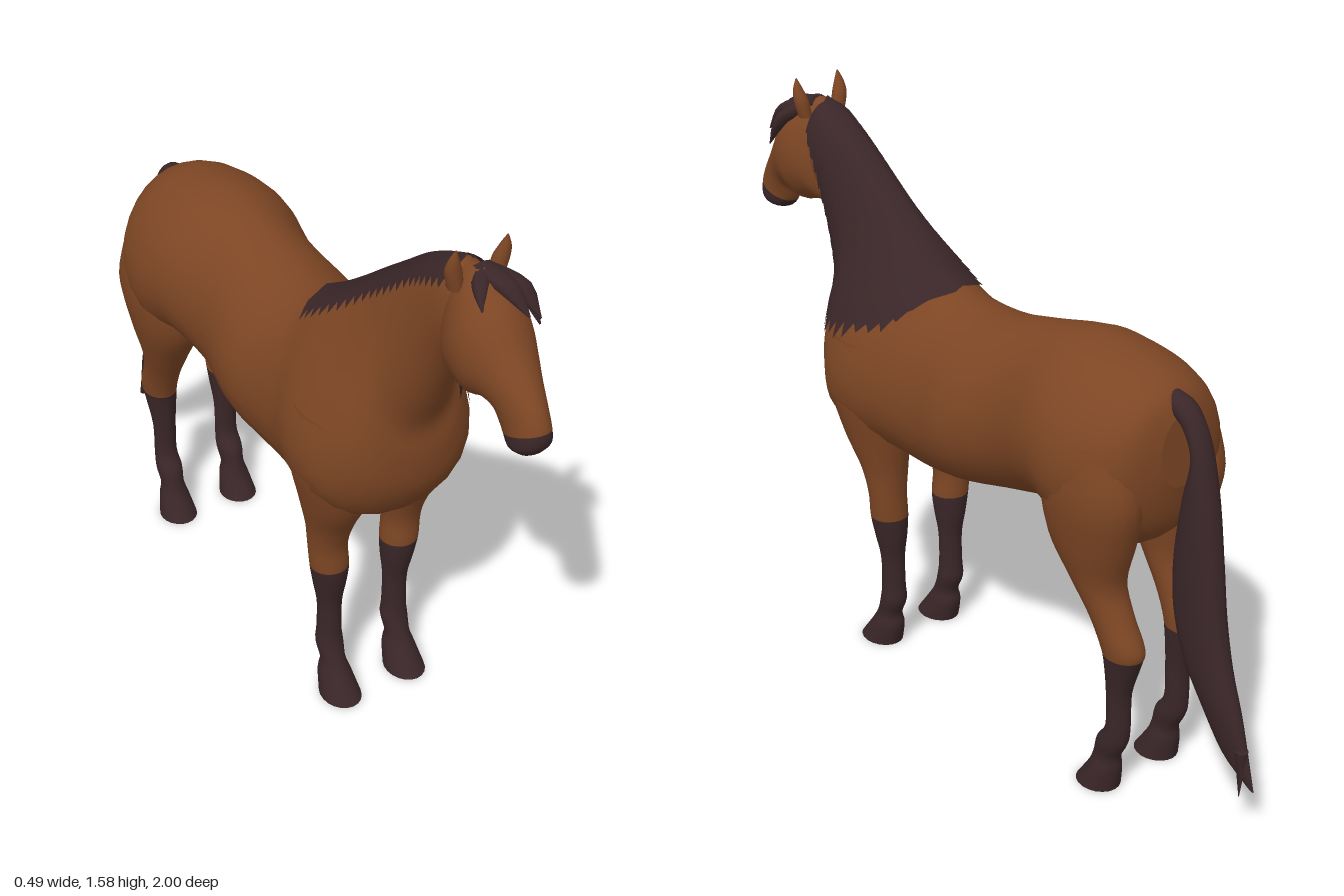
import * as THREE from 'three';

const coat = new THREE.MeshStandardMaterial({ color: 0x7d4624 });
coat.name = 'bay coat';
const dark = new THREE.MeshStandardMaterial({ color: 0x3a2628, side: THREE.DoubleSide });
dark.name = 'dark points';

// Smooth loft. Section: [topZ, topY, bottomZ, bottomY, halfWidth, centreX, pear].
// Faces from section index `split` onward use the second material.
function loft(name, sections, materials, split = Infinity, sides = 28, steps = 4) {
  const pos = [], index = [], n = sections.length;
  const spline = (a, b, c, d, t) =>
    0.5 * (2 * b + (c - a) * t + (2 * a - 5 * b + 4 * c - d) * t * t + (3 * b - a - 3 * c + d) * t * t * t);
  const at = (i) => sections[Math.min(Math.max(i, 0), n - 1)];
  const rows = (n - 1) * steps;
  const ring = (r) => {
    const i = Math.min(Math.floor(r / steps), n - 2), t = r / steps - i;
    const [tz, ty, bz, by, w, cx, k] = Array.from({ length: 7 }, (_, j) =>
      spline(...[i - 1, i, i + 1, i + 2].map((q) => at(q)[j] ?? 0), t));
    for (let s = 0; s < sides; s++) {
      const a = (s / sides) * Math.PI * 2, v = Math.sin(a);
      pos.push(cx + Math.max(w, 0.001) * Math.cos(a) * (1 - k * v),
        (ty + by) / 2 + (ty - by) / 2 * v, (tz + bz) / 2 + (tz - bz) / 2 * v);
    }
    return [cx, (ty + by) / 2, (tz + bz) / 2];
  };
  for (let r = 0; r <= rows; r++) ring(r);
  const cap = (r, flip) => {
    const base = pos.length / 3, c = ring(r);
    pos.push(...c);
    for (let s = 0; s < sides; s++) {
      const p = base + s, q = base + (s + 1) % sides;
      index.push(base + sides, flip ? q : p, flip ? p : q);
    }
  };
  cap(0, true);
  let splitAt = Infinity;
  for (let r = 0; r < rows; r++) {
    if (r === split * steps) splitAt = index.length;
    for (let s = 0; s < sides; s++) {
      const a = r * sides + s, b = r * sides + (s + 1) % sides;
      index.push(a, b, a + sides, b, b + sides, a + sides);
    }
  }
  cap(rows, false);
  const geo = new THREE.BufferGeometry();
  geo.setAttribute('position', new THREE.Float32BufferAttribute(pos, 3));
  geo.setIndex(index);
  geo.computeVertexNormals();
  if (splitAt < Infinity) {
    geo.addGroup(0, splitAt, 0);
    geo.addGroup(splitAt, index.length - splitAt, 1);
  }
  const mesh = new THREE.Mesh(geo, materials);
  mesh.name = name;
  return mesh;
}

// Mane: a jagged sheet over the crest, draped onto the left side of the neck
function buildMane(targets) {
  const curve = (pts) => new THREE.CatmullRomCurve3(pts.map(([z, y]) => new THREE.Vector3(0, y, z)));
  const crest = curve([[0.11, 1.135], [0.2, 1.19], [0.29, 1.255], [0.38, 1.325], [0.46, 1.385], [0.54, 1.445], [0.61, 1.485], [0.69, 1.52]]);
  const edge = curve([[0.14, 1.12], [0.23, 1.03], [0.37, 0.98], [0.48, 0.95], [0.56, 1.07], [0.61, 1.2], [0.65, 1.33], [0.7, 1.44]]);
  const ray = new THREE.Raycaster();
  const drape = (p, side) => {
    ray.set(new THREE.Vector3(side, p.y, p.z), new THREE.Vector3(-side, 0, 0));
    const hit = ray.intersectObjects(targets, false)[0];
    p.x = hit && hit.point.x * side > 0 ? hit.point.x + side * 0.01 : side * 0.01;
    return p;
  };
  const cols = 44, down = 10, back = 3, rows = down + back + 1, pos = [], index = [];
  for (let c = 0; c <= cols; c++) {
    const top = crest.getPoint(c / cols), fall = edge.getPoint(c / cols).sub(top);
    const jag = c % 2 ? 0.86 : 1 + 0.04 * Math.sin(c * 2.3);
    for (let r = -back; r <= down; r++) {
      const p = top.clone();
      if (r === 0) p.y += 0.012;
      else if (r > 0) drape(p.addScaledVector(fall, (r / down) ** 1.4 * jag), 1);
      else drape(p.addScaledVector(fall.clone().normalize(), -r / back * 0.055 * (c % 2 ? 0.6 : 1)), -1);
      pos.push(p.x, p.y, p.z);
      if (c < cols && r < down) {
        const a = c * rows + r + back;
        index.push(a, a + 1, a + rows, a + 1, a + rows + 1, a + rows);
      }
    }
  }
  const geo = new THREE.BufferGeometry();
  geo.setAttribute('position', new THREE.Float32BufferAttribute(pos, 3));
  geo.setIndex(index);
  geo.computeVertexNormals();
  const mesh = new THREE.Mesh(geo, dark);
  mesh.name = 'mane';
  return mesh;
}

export function createModel() {
  const horse = new THREE.Group();
  horse.name = 'horse';

  // Trunk and neck, rump to throat
  const body = loft('bodyAndNeck', [
    [-0.705, 1.07, -0.71, 0.88, 0.07], [-0.675, 1.125, -0.68, 0.76, 0.16],
    [-0.6, 1.165, -0.6, 0.69, 0.222, 0, 0.05], [-0.49, 1.185, -0.49, 0.69, 0.245, 0, 0.08],
    [-0.38, 1.19, -0.38, 0.725, 0.23, 0, 0.1], [-0.22, 1.155, -0.22, 0.685, 0.2, 0, 0.1],
    [-0.05, 1.12, -0.05, 0.645, 0.222, 0, 0.12], [0.07, 1.125, 0.08, 0.622, 0.208, 0, 0.15],
    [0.14, 1.15, 0.23, 0.63, 0.21, 0, 0.22], [0.2, 1.19, 0.36, 0.64, 0.228, 0, 0.32],
    [0.26, 1.235, 0.47, 0.67, 0.218, 0, 0.4], [0.32, 1.28, 0.54, 0.77, 0.18, 0, 0.42],
    [0.38, 1.325, 0.555, 0.88, 0.14, 0, 0.38], [0.44, 1.37, 0.55, 0.97, 0.11, 0, 0.28],
    [0.52, 1.43, 0.59, 1.07, 0.087, 0, 0.15], [0.6, 1.48, 0.635, 1.17, 0.075],
    [0.67, 1.515, 0.68, 1.25, 0.07], [0.73, 1.51, 0.72, 1.28, 0.06],
  ], coat);

  // Head, poll to lips, with a dark muzzle
  const head = loft('head', [
    [0.69, 1.515, 0.66, 1.31, 0.045], [0.745, 1.523, 0.675, 1.235, 0.078],
    [0.8, 1.495, 0.72, 1.23, 0.096], [0.845, 1.455, 0.775, 1.215, 0.094],
    [0.89, 1.39, 0.82, 1.232, 0.077], [0.94, 1.325, 0.85, 1.225, 0.059],
    [0.978, 1.275, 0.865, 1.195, 0.05], [0.999, 1.23, 0.875, 1.18, 0.048],
    [0.998, 1.195, 0.9, 1.158, 0.047], [0.98, 1.168, 0.935, 1.153, 0.028],
  ], [coat, dark], 7);
  horse.add(body, head);

  // Legs: [frontZ, backZ, y, halfWidth, centreX], dark from the knee down
  const foreleg = [
    [0.46, 0.22, 0.97, 0.05, 0.165], [0.47, 0.22, 0.82, 0.09, 0.145], [0.44, 0.235, 0.68, 0.085, 0.122],
    [0.385, 0.25, 0.58, 0.066, 0.115], [0.358, 0.255, 0.5, 0.055, 0.115], [0.36, 0.255, 0.425, 0.053, 0.11],
    [0.35, 0.26, 0.36, 0.045, 0.107], [0.335, 0.27, 0.29, 0.035, 0.105], [0.335, 0.268, 0.2, 0.034, 0.105],
    [0.342, 0.266, 0.15, 0.038, 0.105], [0.36, 0.285, 0.1, 0.034, 0.105], [0.385, 0.28, 0.06, 0.044, 0.105],
    [0.43, 0.295, 0, 0.055, 0.105],
  ];
  const hindleg = [
    [-0.43, -0.65, 1.0, 0.07, 0.15], [-0.4, -0.695, 0.86, 0.1, 0.14], [-0.41, -0.67, 0.73, 0.092, 0.13],
    [-0.485, -0.635, 0.61, 0.067, 0.122], [-0.54, -0.665, 0.52, 0.053, 0.115], [-0.575, -0.703, 0.445, 0.05, 0.11],
    [-0.588, -0.69, 0.395, 0.045, 0.107], [-0.597, -0.66, 0.3, 0.035, 0.105], [-0.597, -0.66, 0.2, 0.034, 0.105],
    [-0.567, -0.655, 0.15, 0.038, 0.105], [-0.555, -0.632, 0.1, 0.034, 0.105], [-0.54, -0.632, 0.06, 0.044, 0.105],
    [-0.5, -0.625, 0, 0.055, 0.105],
  ];
  for (const [side, label] of [[1, 'left'], [-1, 'right']]) {
    const leg = (rows) => rows.map(([f, b, y, w, x]) => [f, y, b, y, w, x * side]);
    horse.add(loft(label + 'Foreleg', leg(foreleg), [coat, dark], 5, 20));
    horse.add(loft(label + 'HindLeg', leg(hindleg), [coat, dark], 5.5, 20));
    // Ears
    horse.add(loft(label + 'Ear', [
      [0.7, 1.475, 0.74, 1.475, 0.018, 0.055 * side], [0.703, 1.52, 0.742, 1.52, 0.021, 0.064 * side],
      [0.718, 1.555, 0.742, 1.55, 0.014, 0.069 * side], [0.735, 1.582, 0.738, 1.58, 0.002, 0.069 * side],
    ], coat, Infinity, 10));
  }

  // Tail, tip to dock
  horse.add(loft('tail', [
    [-1, 0.15, -0.975, 0.16, 0.003], [-0.97, 0.25, -0.89, 0.22, 0.018], [-0.94, 0.34, -0.81, 0.34, 0.034],
    [-0.9, 0.45, -0.745, 0.45, 0.043], [-0.87, 0.58, -0.71, 0.57, 0.047], [-0.85, 0.72, -0.706, 0.71, 0.048],
    [-0.825, 0.87, -0.725, 0.86, 0.043], [-0.795, 0.99, -0.75, 0.97, 0.035], [-0.765, 1.065, -0.725, 1.03, 0.031],
    [-0.72, 1.112, -0.7, 1.055, 0.032], [-0.65, 1.13, -0.66, 1.06, 0.025],
  ], dark, Infinity, 16));

  // Loose locks: root, middle and tip as [x, y, z]
  const lock = (name, pts, width, thick) => {
    const size = [1, 1, 0.1];
    horse.add(loft(name, pts.map(([x, y, z], i) =>
      [z + thick * size[i] / 2, y + thick * size[i], z - thick * size[i] / 2, y - thick * size[i], width * size[i], x]),
    dark, Infinity, 8));
  };
  const poll = [0.01, 1.512, 0.72];
  lock('forelock', [poll, [0.082, 1.465, 0.785], [0.105, 1.385, 0.825]], 0.025, 0.016);
  lock('forelock', [poll, [0.06, 1.485, 0.8], [0.085, 1.42, 0.85]], 0.028, 0.015);
  lock('forelock', [poll, [0.025, 1.495, 0.8], [0.045, 1.442, 0.86]], 0.03, 0.015);
  lock('forelock', [poll, [-0.025, 1.495, 0.775], [-0.05, 1.462, 0.815]], 0.025, 0.015);
  // Ragged tail ends
  for (const [x, y, z] of [[0.01, 0.35, -0.8], [-0.01, 0.21, -0.89], [0.008, 0.125, -0.955]]) {
    const end = new THREE.Mesh(new THREE.ConeGeometry(0.018, 0.14, 6), dark);
    end.name = 'tailEnd';
    end.rotation.x = Math.PI;
    end.position.set(x, y + 0.06, z - 0.005);
    horse.add(end);
  }

  horse.add(buildMane([body, head]));
  return horse;
}
